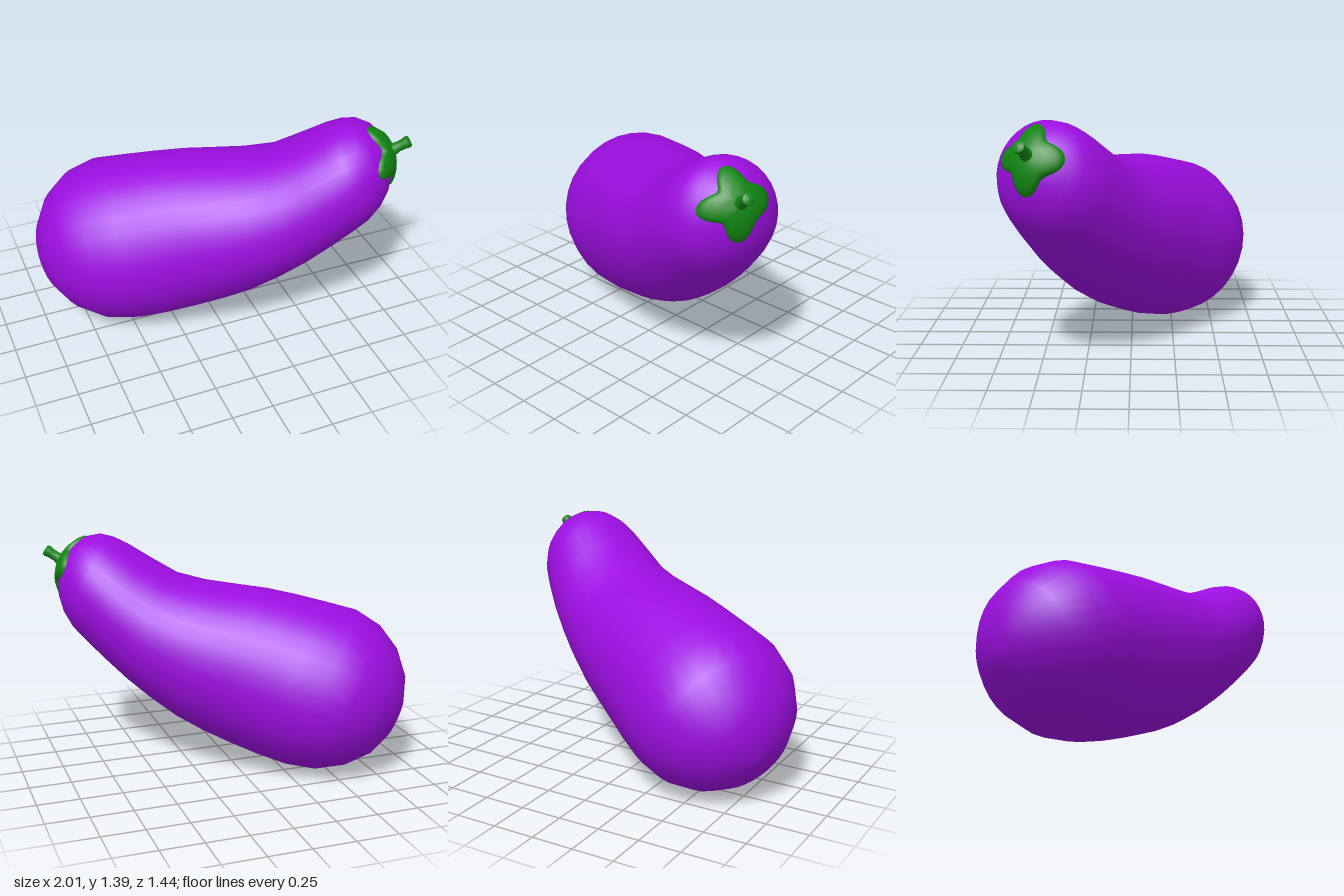
import * as THREE from 'three';

const purple = new THREE.MeshStandardMaterial({ color: 0x9c0ee0 });
purple.name = 'aubergine purple';
const green = new THREE.MeshStandardMaterial({ color: 0x108412 });
green.name = 'calyx green';

// Frame of the fruit: origin in the fat end, axis towards the stem
const origin = new THREE.Vector3(-0.5, 0.5, -0.22);
const axis = new THREE.Vector3(0.804, 0.385, 0.434).normalize();
const side = new THREE.Vector3(-axis.z, 0, axis.x).normalize();
const up = new THREE.Vector3().crossVectors(side, axis).normalize();

function place(s, w, u) {
  return origin.clone().addScaledVector(axis, s).addScaledVector(side, w).addScaledVector(up, u);
}

// Skin a stack of closed rings; point(ring, angle) gives each vertex
function loft(rings, segments, point) {
  const positions = [], index = [];
  rings.forEach((ring, i) => {
    for (let j = 0; j < segments; j++) {
      positions.push(...point(ring, (j / segments) * Math.PI * 2).toArray());
      if (i === rings.length - 1) continue;
      const a = i * segments + j, b = i * segments + (j + 1) % segments;
      index.push(a, a + segments, b, b, a + segments, b + segments);
    }
  });
  const geometry = new THREE.BufferGeometry();
  geometry.setAttribute('position', new THREE.Float32BufferAttribute(positions, 3));
  geometry.setIndex(index);
  geometry.computeVertexNormals();
  return geometry;
}

function add(group, name, geometry, material) {
  const mesh = new THREE.Mesh(geometry, material);
  mesh.name = name;
  group.add(mesh);
  return mesh;
}

// Body sections: distance along axis, upward shift, half height, half width
const bodyRings = [
  [-0.5, 0, 0, 0], [-0.485, 0, 0.12, 0.12], [-0.43, 0, 0.26, 0.26],
  [-0.32, 0, 0.385, 0.385], [-0.17, -0.005, 0.475, 0.47], [0, -0.015, 0.512, 0.495],
  [0.18, -0.04, 0.507, 0.48], [0.36, -0.06, 0.495, 0.46], [0.54, -0.08, 0.475, 0.447],
  [0.72, -0.1, 0.44, 0.435], [0.9, -0.108, 0.395, 0.415], [1.08, -0.1, 0.355, 0.39],
  [1.26, -0.06, 0.333, 0.367], [1.42, -0.02, 0.315, 0.335], [1.51, 0, 0.298, 0.31],
  [1.59, 0.02, 0.263, 0.268], [1.66, 0.035, 0.2, 0.2], [1.71, 0.04, 0.11, 0.11],
  [1.735, 0.04, 0, 0],
];

export function createModel() {
  const model = new THREE.Group();
  model.name = 'aubergine';

  add(model, 'body', loft(bodyRings, 32, ([s, shift, h, w], t) =>
    place(s, w * Math.cos(t), shift + h * Math.sin(t))), purple);

  // Calyx: four-lobed cap hugging the end, its rim tucked into the skin
  const calyxRings = [[1, -0.035], [1, 0.012], [0.85, 0.02], [0.6, 0.022], [0.35, 0.022], [0, 0.022]];
  add(model, 'calyx', loft(calyxRings, 48, ([k, lift], t) => {
    const r = k * (0.162 + 0.034 * Math.cos(4 * t + 0.25) + 0.008 * Math.cos(5 * t));
    return place(1.735 - 2 * r * r + lift, r * Math.cos(t) - 0.005, 0.038 + r * Math.sin(t));
  }), green);

  // Stem: flared at the calyx, blunt and slightly swollen at the tip
  const profile = [[0.095, -0.01], [0.055, 0.03], [0.037, 0.06], [0.029, 0.09],
    [0.03, 0.13], [0.035, 0.15], [0.031, 0.164], [0, 0.168]];
  const stem = add(model, 'stem',
    new THREE.LatheGeometry(profile.map(([r, y]) => new THREE.Vector2(r, y)), 16), green);
  stem.position.set(0.862, 1.19, 0.505);
  stem.quaternion.setFromUnitVectors(new THREE.Vector3(0, 1, 0),
    new THREE.Vector3(0.125, 0.088, 0.055).normalize());

  return model;
}
